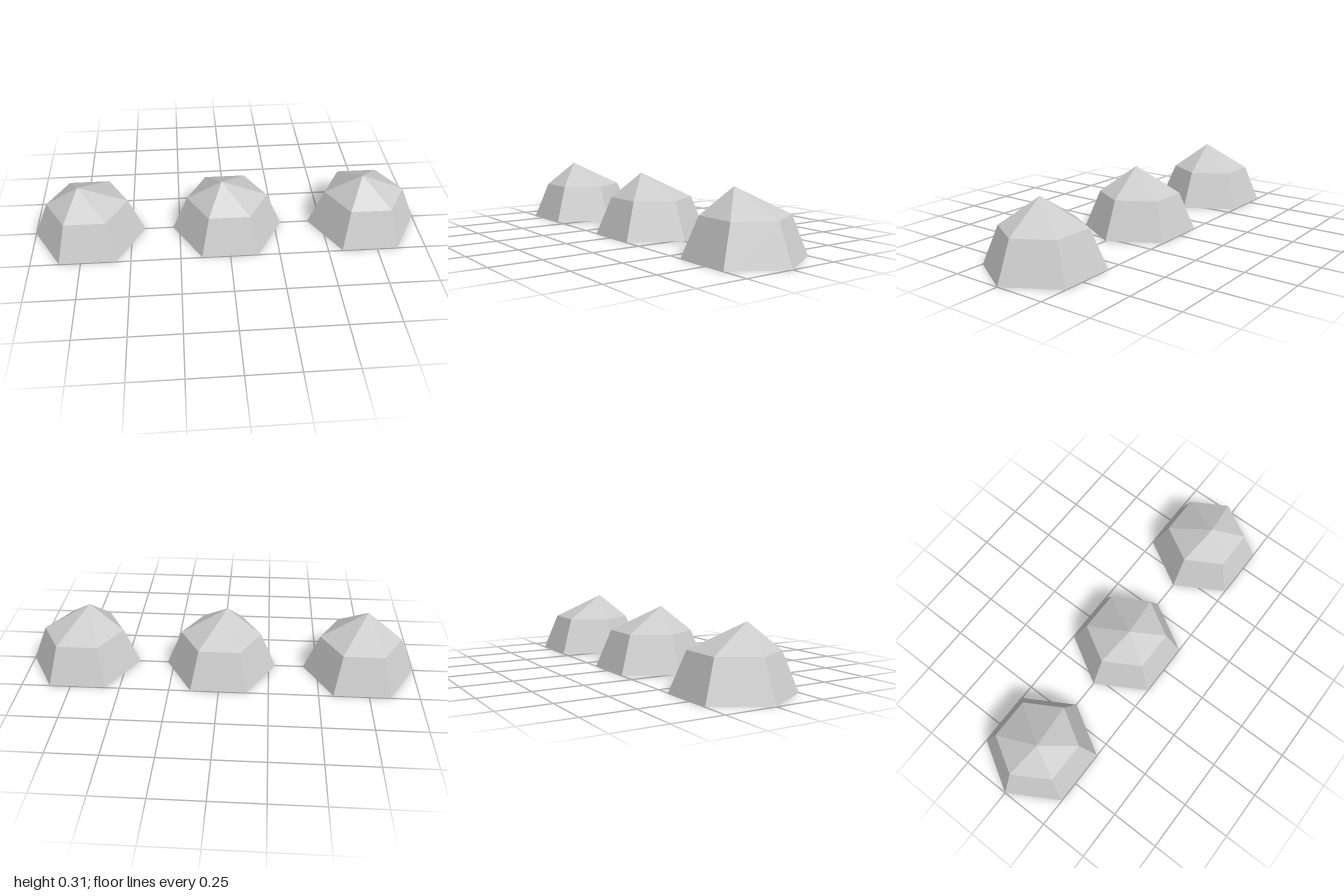
import * as THREE from 'three';

const SIDES = 6, BASE_R = 0.285, EAVE_R = 0.206, EAVE_Y = 0.19, PEAK_Y = 0.315;
const PEAK_X = -0.03, PEAK_Z = 0.043, SPACING = 0.715;

// Open tapered hexagonal wall, with corners on the x axis
function wallGeometry() {
  return new THREE.CylinderGeometry(EAVE_R, BASE_R, EAVE_Y, SIDES, 1, true, Math.PI / 2)
    .translate(0, EAVE_Y / 2, 0);
}

// Hexagonal roof whose peak is pulled off centre
function roofGeometry() {
  const h = PEAK_Y - EAVE_Y;
  const geo = new THREE.ConeGeometry(EAVE_R, h, SIDES, 1, true, Math.PI / 2)
    .translate(0, EAVE_Y + h / 2, 0);
  const pos = geo.attributes.position;
  for (let i = 0; i < pos.count; i++) {
    if (pos.getY(i) > EAVE_Y + h / 2) pos.setXYZ(i, PEAK_X, PEAK_Y, PEAK_Z);
  }
  geo.computeVertexNormals();
  return geo;
}

export function createModel() {
  const model = new THREE.Group();
  model.name = 'domeRow';

  // The shells are open underneath, so their insides show
  const grey = new THREE.MeshStandardMaterial({
    name: 'lightGrey', color: 0xcccccc, flatShading: true, side: THREE.DoubleSide,
  });
  const wallGeo = wallGeometry();
  const roofGeo = roofGeometry();

  // Three identical domes in a row
  ['rightDome', 'middleDome', 'leftDome'].forEach((name, i) => {
    const dome = new THREE.Group();
    dome.name = name;
    dome.position.x = (i - 1) * SPACING;
    const wall = new THREE.Mesh(wallGeo, grey);
    wall.name = 'wall';
    const roof = new THREE.Mesh(roofGeo, grey);
    roof.name = 'roof';
    dome.add(wall, roof);
    model.add(dome);
  });
  return model;
}
